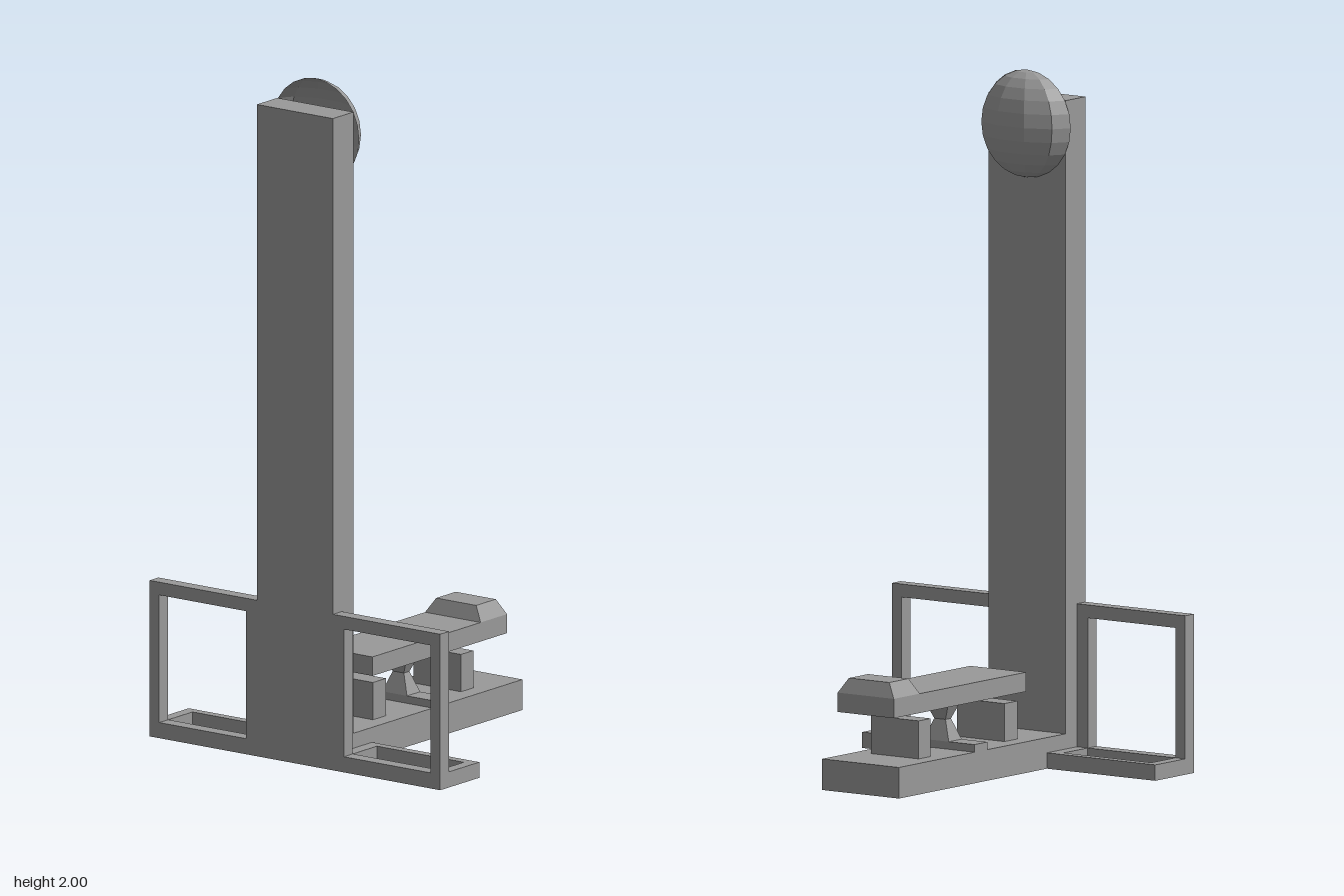
import * as THREE from 'three';

export function createModel() {
  const model = new THREE.Group();
  const grey = new THREE.MeshStandardMaterial({ color: 0x999999, flatShading: true });
  grey.name = 'grey';
  // The dome is an open shell, so its inside shows too
  const shellGrey = grey.clone();
  shellGrey.name = 'shell grey';
  shellGrey.side = THREE.DoubleSide;

  function add(name, geometry, material = grey) {
    const mesh = new THREE.Mesh(geometry, material);
    mesh.name = name;
    model.add(mesh);
    return mesh;
  }

  // Box given by its minimum and maximum on each axis
  function box(name, [x0, x1], [y0, y1], [z0, z1]) {
    const geometry = new THREE.BoxGeometry(x1 - x0, y1 - y0, z1 - z0);
    geometry.translate((x0 + x1) / 2, (y0 + y1) / 2, (z0 + z1) / 2);
    return add(name, geometry);
  }

  // Box whose top face has its own half width and depth
  function frustum(name, y0, y1, zMid, bottom, top) {
    const geometry = new THREE.BoxGeometry(2, 1, 2);
    const p = geometry.attributes.position;
    for (let i = 0; i < p.count; i++) {
      const upper = p.getY(i) > 0;
      const [hx, hz] = upper ? top : bottom;
      p.setXYZ(i, p.getX(i) * hx, upper ? y1 : y0, zMid + p.getZ(i) * hz);
    }
    geometry.computeVertexNormals();
    return add(name, geometry);
  }

  // Rectangular plate with a rectangular opening
  function frameGeometry([x0, x1, y0, y1], [a0, a1, b0, b1], depth) {
    const corners = (l, r, b, t) => [[l, b], [r, b], [r, t], [l, t]].map(([x, y]) => new THREE.Vector2(x, y));
    const shape = new THREE.Shape(corners(x0, x1, y0, y1));
    shape.holes.push(new THREE.Path(corners(a0, a1, b0, b1).reverse()));
    return new THREE.ExtrudeGeometry(shape, { depth, bevelEnabled: false });
  }

  // Column and floor base
  box('column', [-0.137, 0.137], [0, 1.922], [0.35, 0.447]);
  box('base', [-0.137, 0.137], [0, 0.09], [-0.447, 0.35]);

  // Half ellipsoid dome at the top, bulging backwards
  const domeGeometry = new THREE.SphereGeometry(1, 5, 12, Math.PI, Math.PI);
  domeGeometry.scale(0.156, 0.156, 0.084);
  const dome = add('dome', domeGeometry, shellGrey);
  dome.position.set(0, 1.844, 0.35);

  // Bench with raised headrest
  box('bench', [-0.1, 0.1], [0.226, 0.282], [-0.422, 0.212]);
  frustum('headrest', 0.282, 0.325, -0.36, [0.1, 0.062], [0.072, 0.046]);

  // Support posts under the bench
  box('frontPost', [-0.085, 0.085], [0.09, 0.2], [0.128, 0.19]);
  box('rearPost', [-0.085, 0.085], [0.09, 0.2], [-0.283, -0.225]);

  // Central pivot: foot strip and hourglass stem
  box('pivotFoot', [-0.137, 0.137], [0.09, 0.112], [-0.085, -0.023]);
  frustum('pivotLower', 0.112, 0.172, -0.054, [0.045, 0.031], [0.02, 0.013]);
  frustum('pivotUpper', 0.172, 0.226, -0.054, [0.02, 0.013], [0.045, 0.031]);

  // Upright and floor frames on both sides
  for (const side of [1, -1]) {
    const label = side > 0 ? 'left' : 'right';
    const span = (a, b) => (side > 0 ? [a, b] : [-b, -a]);
    const upright = frameGeometry(
      [...span(0.137, 0.523), 0, 0.46], [...span(0.176, 0.488), 0.046, 0.422], 0.042);
    upright.translate(0, 0, 0.405);
    add(label + 'UprightFrame', upright);

    const floor = frameGeometry(
      [...span(0.137, 0.523), -0.405, -0.262], [...span(0.176, 0.488), -0.4045, -0.29], 0.046);
    floor.rotateX(-Math.PI / 2);
    add(label + 'FloorFrame', floor);
  }

  return model;
}
